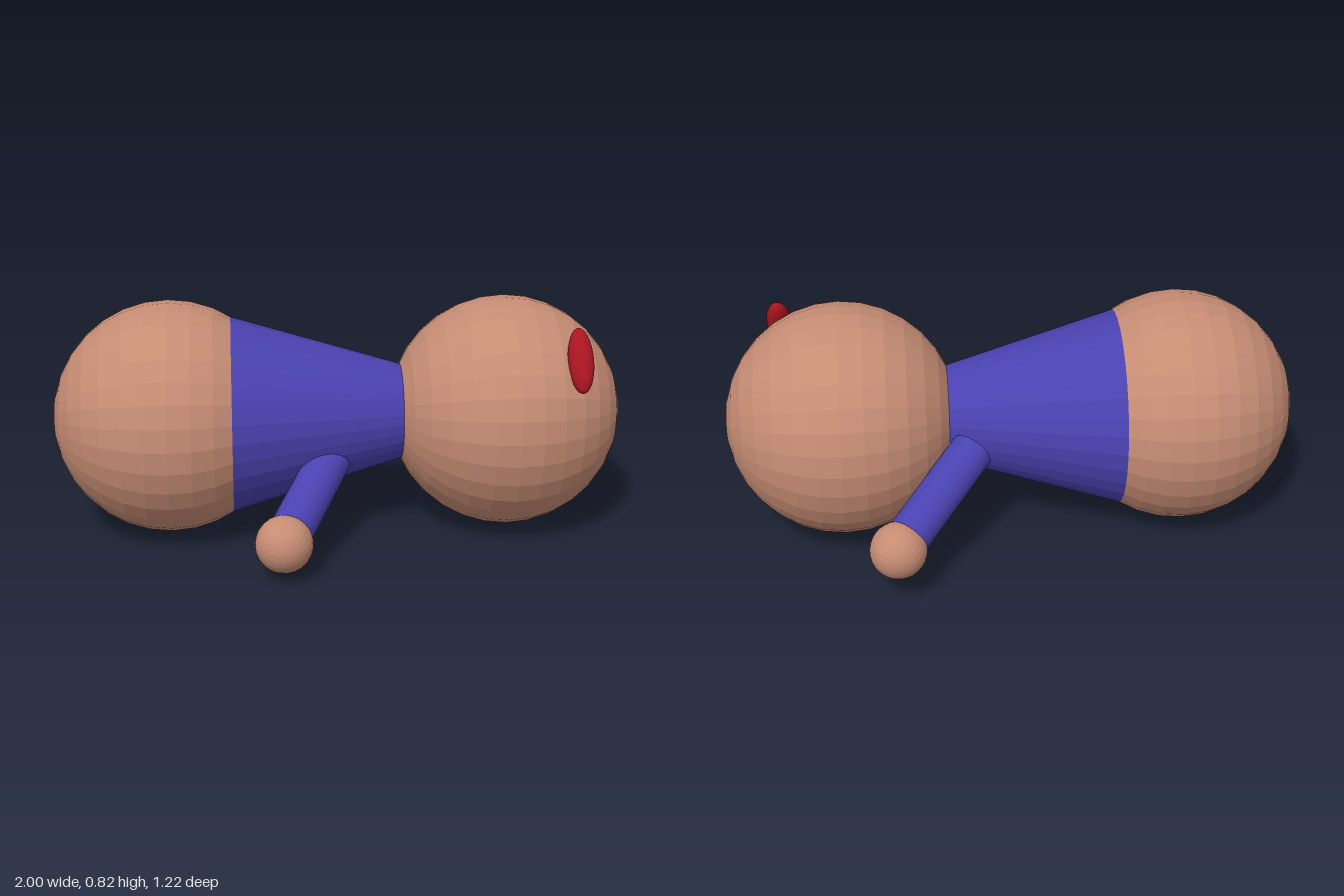
import * as THREE from 'three';

const material = (color) => new THREE.MeshStandardMaterial({ color, flatShading: true, side: THREE.DoubleSide });
const UP = new THREE.Vector3(0, 1, 0);

export function createModel() {
  const group = new THREE.Group();
  const skin = material(0xc68c74);
  const cloth = material(0x4a42b0);
  const red = material(0xaa1520);

  const add = (name, geometry, mat, x, y, z) => {
    const mesh = new THREE.Mesh(geometry, mat);
    mesh.name = name;
    mesh.position.set(x, y, z);
    group.add(mesh);
    return mesh;
  };

  // Tube with open ends running between two points
  const tube = (name, from, to, rFrom, rTo, sides) => {
    const a = new THREE.Vector3(...from), b = new THREE.Vector3(...to);
    const dir = b.clone().sub(a);
    const mid = a.clone().add(b).multiplyScalar(0.5);
    const mesh = add(name, new THREE.CylinderGeometry(rTo, rFrom, dir.length(), sides, 1, true), cloth, mid.x, mid.y, mid.z);
    mesh.quaternion.setFromUnitVectors(UP, dir.normalize());
    return mesh;
  };

  // Head and rump: equal balls with their poles along x
  const R = 0.408, Y = 0.41, Z = -0.005;
  for (const [name, side] of [['head', 1], ['rump', -1]]) {
    add(name, new THREE.SphereGeometry(R, 32, 16).rotateZ(-Math.PI / 2), skin, side * 0.592, Y, Z);
  }

  // Tapered body, its narrow end sunk into the head
  tube('body', [-0.592, Y, Z], [0.28, Y, Z], R, 0.152, 32);

  // Arms with ball hands
  const arms = [
    ['right', [0.0, 0.325, 0.07], [-0.21, 0.125, 0.515]],
    ['left', [0.147, 0.37, -0.2], [0.415, 0.185, -0.515]],
  ];
  for (const [side, shoulder, hand] of arms) {
    const arm = tube(side + 'Arm', shoulder, hand, 0.075, 0.075, 32);
    const ball = add(side + 'Hand', new THREE.SphereGeometry(0.097, 32, 16), skin, ...hand);
    ball.quaternion.copy(arm.quaternion);
  }

  // Flattened oval marking on the head
  const spot = add('redSpot', new THREE.SphereGeometry(1, 32, 16), red, 0.808, 0.662, 0.262);
  spot.scale.set(0.044, 0.117, 0.042);
  spot.rotation.x = -0.61;

  return group;
}
